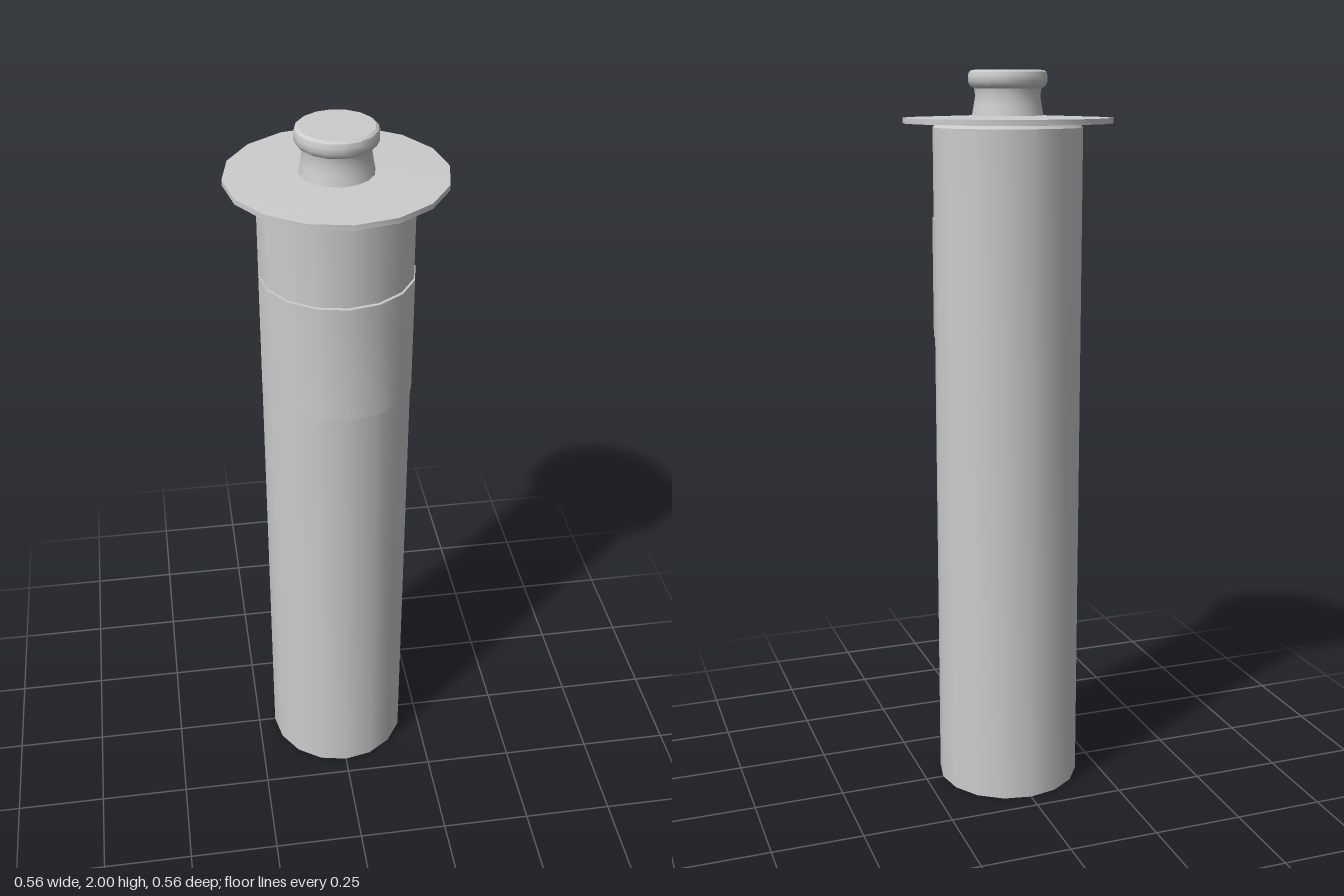
import * as THREE from 'three';
import { toCreasedNormals } from 'three/addons/utils/BufferGeometryUtils.js';

const SIDES = 16;

// Turned part from [radius, height] points, bottom to top
function turned(name, points, material, start = 0, arc = Math.PI * 2, sides = SIDES) {
  const profile = points.map(([r, y]) => new THREE.Vector2(r, y));
  const geometry = new THREE.LatheGeometry(profile, sides, start, arc);
  const mesh = new THREE.Mesh(toCreasedNormals(geometry, 0.62), material);
  mesh.name = name;
  return mesh;
}

export function createModel() {
  const group = new THREE.Group();
  group.name = 'plungerTube';

  const grey = new THREE.MeshStandardMaterial({ color: 0xcccccc });
  grey.name = 'light grey';

  // Long tube with a small chamfer under the flange
  group.add(turned('body', [
    [0, 0], [0.2, 0], [0.2, 1.853], [0.194, 1.861], [0.194, 1.87], [0, 1.87],
  ], grey));

  // Thin flange, rising very slightly to the centre
  group.add(turned('flange', [
    [0, 1.864], [0.28, 1.864], [0.28, 1.878], [0.09, 1.884], [0, 1.884],
  ], grey));

  // Knob with a waisted neck and a rounded rim
  group.add(turned('knob', [
    [0.096, 1.878], [0.09, 1.91], [0.086, 1.935], [0.089, 1.953],
    [0.099, 1.959], [0.105, 1.971], [0.105, 1.985], [0.102, 1.995], [0.095, 2], [0, 2],
  ], grey));

  // Curved plate wrapped round the front half, standing out most at the middle
  const plate = turned('frontPlate', [
    [0.185, 1.29], [0.201, 1.29], [0.201, 1.615], [0.185, 1.615],
  ], grey, -Math.PI / 2, Math.PI, SIDES / 2);
  plate.position.z = 0.009;
  group.add(plate);

  return group;
}
